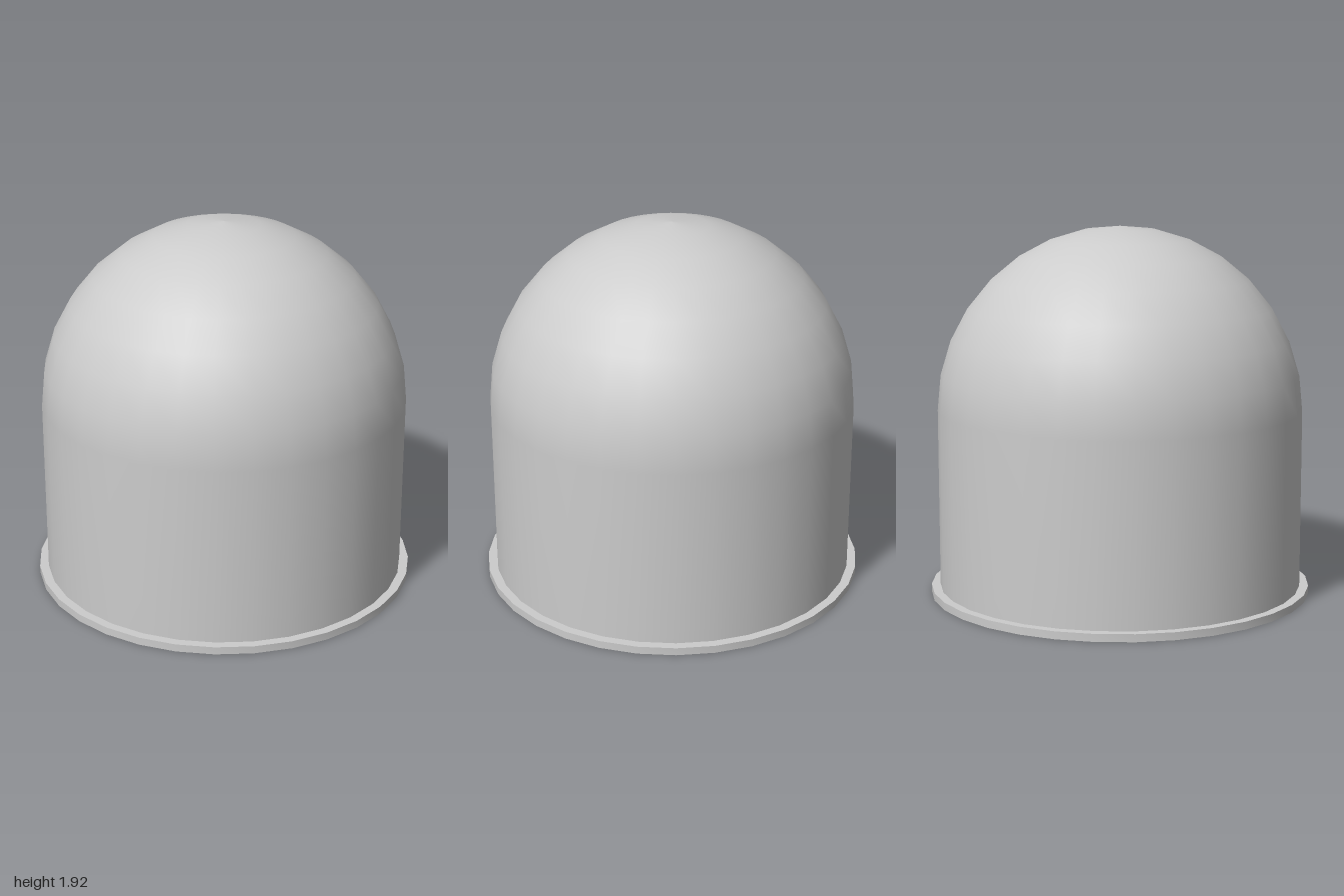
import * as THREE from 'three';
import { toCreasedNormals } from 'three/addons/utils/BufferGeometryUtils.js';

const SEGMENTS = 32;
const RADIUS = 0.953;     // wall and dome radius
const SPRING = 0.972;     // height where the dome begins
const FLANGE_HEIGHT = 0.04;

export function createModel() {
  const model = new THREE.Group();
  model.name = 'domedCover';
  const material = new THREE.MeshStandardMaterial({ color: 0xcccccc, side: THREE.DoubleSide });

  // Thin open shell: straight wall running into a hemispherical dome
  const profile = [new THREE.Vector2(RADIUS, 0)];
  const rings = 8;
  for (let i = 0; i <= rings; i++) {
    const a = (i / rings) * Math.PI / 2;
    const r = i === rings ? 0 : RADIUS * Math.cos(a);
    profile.push(new THREE.Vector2(r, SPRING + RADIUS * Math.sin(a)));
  }
  const shell = new THREE.Mesh(new THREE.LatheGeometry(profile, SEGMENTS), material);
  shell.name = 'domeShell';
  model.add(shell);

  // Flat flange around the open base, with crisp edges
  const rim = [[RADIUS, 0], [1, 0], [1, FLANGE_HEIGHT], [RADIUS, FLANGE_HEIGHT]]
    .map(([r, y]) => new THREE.Vector2(r, y));
  const flange = new THREE.Mesh(
    toCreasedNormals(new THREE.LatheGeometry(rim, SEGMENTS), 0.6), material);
  flange.name = 'baseFlange';
  model.add(flange);

  return model;
}
